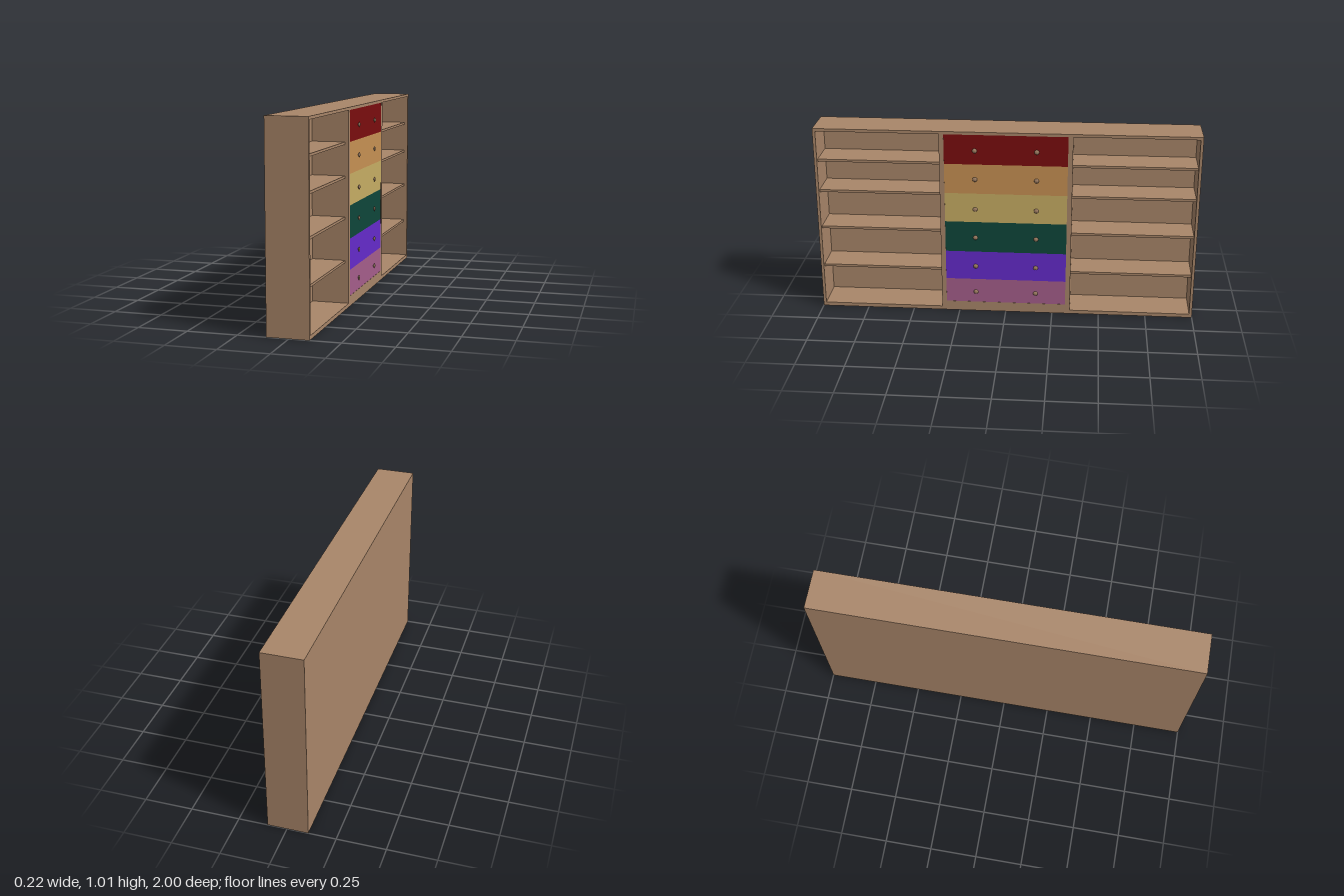
import * as THREE from 'three';

const mat = (name, color) => {
  const m = new THREE.MeshStandardMaterial({ color });
  m.name = name;
  return m;
};

export function createModel() {
  const group = new THREE.Group();
  group.name = 'shelfUnit';
  const wood = mat('wood', 0xa98669);

  const BACK = -0.109, FRONT = 0.1, INNER = -0.092; // depth runs along x, open side at +x
  const H = 1.015, TOP = 1.0, FLOOR = 0.02;
  const WALL = 0.985, DIV_OUT = 0.345, DIV_IN = 0.32;

  // Box given by its limits on each axis
  const box = (name, material, x0, x1, y0, y1, z0, z1, parent = group) => {
    const mesh = new THREE.Mesh(new THREE.BoxGeometry(x1 - x0, y1 - y0, z1 - z0), material);
    mesh.position.set((x0 + x1) / 2, (y0 + y1) / 2, (z0 + z1) / 2);
    mesh.name = name;
    parent.add(mesh);
    return mesh;
  };

  // Carcass
  box('topPanel', wood, BACK, FRONT, TOP, H, -1, 1);
  box('basePanel', wood, BACK, FRONT, 0, FLOOR, -1, 1);
  box('backPanel', wood, BACK, INNER, FLOOR, TOP, -1, 1);

  // Side walls, dividers and open shelves, mirrored in z
  for (const s of [1, -1]) {
    const side = s > 0 ? 'Right' : 'Left';
    const span = (a, b) => (s > 0 ? [a, b] : [-b, -a]);
    box('wall' + side, wood, INNER, FRONT, FLOOR, TOP, ...span(WALL, 1));
    box('divider' + side, wood, INNER, FRONT, FLOOR, TOP, ...span(DIV_IN, DIV_OUT));
    for (const y of [0.241, 0.464, 0.672, 0.842])
      box('shelf' + side, wood, INNER, FRONT - 0.02, y - 0.013, y, ...span(DIV_OUT, WALL));
  }

  // Plinth under the drawers
  box('plinth', wood, INNER, FRONT, FLOOR, 0.053, -DIV_IN, DIV_IN);

  // Knob: short stem with a domed head
  const knobProfile = [[0.005, -0.002], [0.005, 0.002], [0.011, 0.003], [0.013, 0.005], [0.009, 0.008], [0, 0.009]]
    .map(([r, y]) => new THREE.Vector2(r, y));
  const knobGeometry = new THREE.LatheGeometry(knobProfile, 10).rotateZ(-Math.PI / 2);

  // Drawers from bottom to top: [name, colour, lower edge, upper edge, knob height]
  const drawers = [
    ['pink', 0xa65f8c, 0.053, 0.188, 0.115],
    ['violet', 0x662bcc, 0.188, 0.349, 0.266],
    ['green', 0x0f473b, 0.349, 0.519, 0.432],
    ['yellow', 0xc8ae64, 0.519, 0.679, 0.593],
    ['orange', 0xc89254, 0.679, 0.84, 0.76],
    ['red', 0x7b0d0e, 0.84, TOP, 0.916],
  ];
  for (const [name, color, y0, y1, knobY] of drawers) {
    const drawer = new THREE.Group();
    drawer.name = name + 'Drawer';
    box(name + 'DrawerFront', mat(name, color), INNER, FRONT - 0.001, y0, y1, -DIV_IN, DIV_IN, drawer);
    for (const z of [-0.16, 0.16]) {
      const knob = new THREE.Mesh(knobGeometry, wood);
      knob.name = 'knob';
      knob.position.set(FRONT, knobY, z);
      drawer.add(knob);
    }
    group.add(drawer);
  }
  return group;
}
